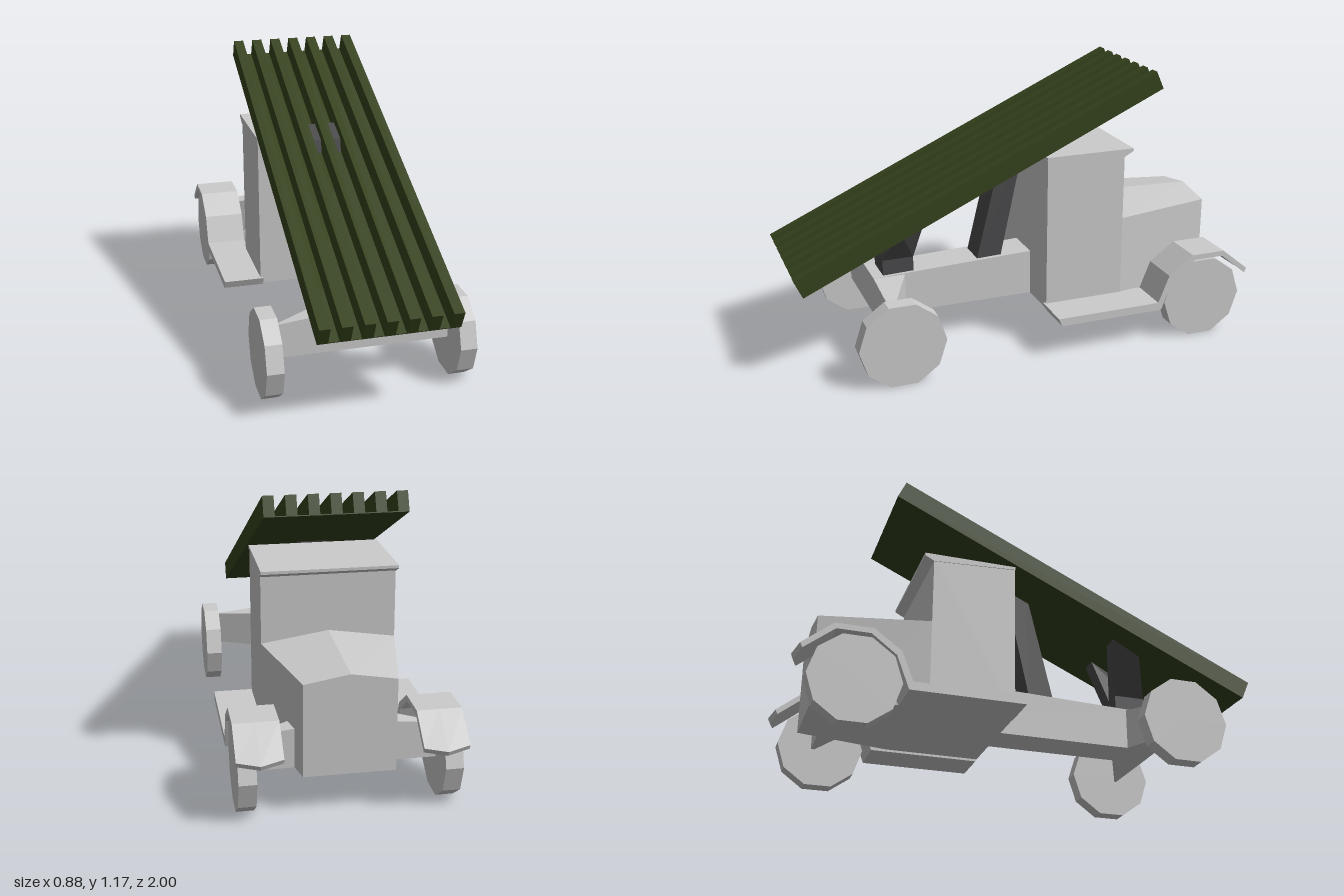
import * as THREE from 'three';
import { ConvexGeometry } from 'three/addons/geometries/ConvexGeometry.js';

const grey = new THREE.MeshStandardMaterial({ color: 0xcccccc, flatShading: true });
const green = new THREE.MeshStandardMaterial({ color: 0x35421c, flatShading: true });
const dark = new THREE.MeshStandardMaterial({ color: 0x4a4a4c, flatShading: true });

export function createModel() {
  const model = new THREE.Group();

  const add = (name, geometry, material = grey, parent = model) => {
    const mesh = new THREE.Mesh(geometry, material);
    mesh.name = name;
    parent.add(mesh);
    return mesh;
  };
  // Convex block from [x, y, z] corners
  const block = (name, corners, material) =>
    add(name, new ConvexGeometry(corners.map((c) => new THREE.Vector3(...c))), material);
  // Convex block symmetric in x, from corners given on one side
  const symmetric = (name, corners, material) =>
    block(name, corners.flatMap(([x, y, z]) => (x ? [[x, y, z], [-x, y, z]] : [[x, y, z]])), material);

  // Chassis beam
  symmetric('chassis', [
    [0.085, 0.16, 0.63], [0.085, 0.335, 0.63], [0.085, 0.36, -0.085],
    [0.085, 0.36, -0.805], [0.085, 0.16, -0.805],
  ]);

  // Axles taper towards the wheels, with one straight face at the outer end
  for (const [name, outer, inner, tip] of [
    ['rearAxle', 0.63, 0.49, 0.62], ['frontAxle', -0.805, -0.67, -0.79],
  ]) {
    for (const s of [1, -1]) {
      const corners = [];
      for (const z of [outer, inner]) corners.push([s * 0.08, 0.16, z], [s * 0.08, 0.335, z]);
      for (const z of [outer, tip]) corners.push([s * 0.36, 0.16, z], [s * 0.36, 0.305, z]);
      block(name, corners);
    }
  }

  // Ten-sided wheels
  const wheel = new THREE.CylinderGeometry(0.184, 0.184, 0.07, 10).rotateZ(Math.PI / 2);
  for (const [name, z] of [['rearWheel', 0.6], ['frontWheel', -0.765]]) {
    for (const s of [1, -1]) add(name, wheel).position.set(s * 0.395, 0.175, z);
  }

  // Cab, roof with visor, and tapered ridged hood
  symmetric('cab', [
    [0.275, 0.16, -0.085], [0.275, 0.84, -0.085], [0.275, 0.84, -0.44], [0.275, 0.16, -0.44],
  ]);
  symmetric('roof', [
    [0.278, 0.848, -0.082], [0.278, 0.835, -0.082], [0.278, 0.848, -0.48],
    [0.278, 0.836, -0.48], [0.278, 0.815, -0.44],
  ]);
  symmetric('hood', [
    [0.275, 0.16, -0.44], [0.275, 0.535, -0.44], [0, 0.577, -0.44],
    [0.18, 0.16, -0.89], [0.18, 0.535, -0.89], [0, 0.565, -0.89],
  ]);

  // Running board and fender in one bent strip, as [z, y] along top then bottom
  const profile = [
    [-0.075, 0.185], [-0.545, 0.185], [-0.593, 0.305], [-0.705, 0.385], [-0.857, 0.385], [-0.98, 0.285],
    [-0.97, 0.265], [-0.85, 0.362], [-0.715, 0.362], [-0.612, 0.285], [-0.56, 0.15], [-0.09, 0.15],
  ];
  const strip = new THREE.ExtrudeGeometry(
    new THREE.Shape(profile.map(([z, y]) => new THREE.Vector2(-z, y))),
    { depth: 0.178, steps: 2, bevelEnabled: false });
  // Pull the middle of the front lip to a shallow point
  const p = strip.attributes.position;
  for (let i = 0; i < p.count; i++) {
    if (p.getX(i) > 0.96 && Math.abs(p.getZ(i) - 0.089) < 0.01) {
      p.setXYZ(i, p.getX(i) + 0.02, p.getY(i) - 0.012, p.getZ(i));
    }
  }
  strip.rotateY(Math.PI / 2);
  strip.computeVertexNormals();
  for (const x of [0.263, -0.441]) add('runningBoardAndFender', strip).position.x = x;

  // Slanted forward support
  symmetric('tallSupport', [
    [0.065, 0.345, 0.16], [0.065, 0.345, 0.05], [0.065, 0.858, 0.035], [0.065, 0.9, -0.07],
  ]);

  // Low support: base block with two spreading arms
  symmetric('supportBase', [
    [0.07, 0.315, 0.585], [0.07, 0.315, 0.45], [0.07, 0.405, 0.585], [0.07, 0.405, 0.45],
  ], dark);
  model.getObjectByName('tallSupport').material = dark;
  for (const s of [1, -1]) {
    const arm = [];
    for (const x of [0, 0.07]) arm.push([s * x, 0.405, 0.585], [s * x, 0.405, 0.45]);
    for (const x of [0.09, 0.165]) arm.push([s * x, 0.565, 0.53], [s * x, 0.632, 0.41]);
    block('supportArm', arm, dark);
  }

  // Tilted launch rack: thin floor and seven rails
  const rack = new THREE.Group();
  rack.name = 'launchRack';
  rack.position.set(0, 0.777, 0.195);
  rack.rotation.x = Math.atan(0.457);
  model.add(rack);
  add('rackFloor', new THREE.BoxGeometry(0.56, 0.004, 1.729), green, rack).position.y = -0.0395;
  const rail = new THREE.BoxGeometry(0.043, 0.083, 1.73);
  for (let i = -3; i <= 3; i++) add('launchRail', rail, green, rack).position.x = i * 0.0862;

  return model;
}
